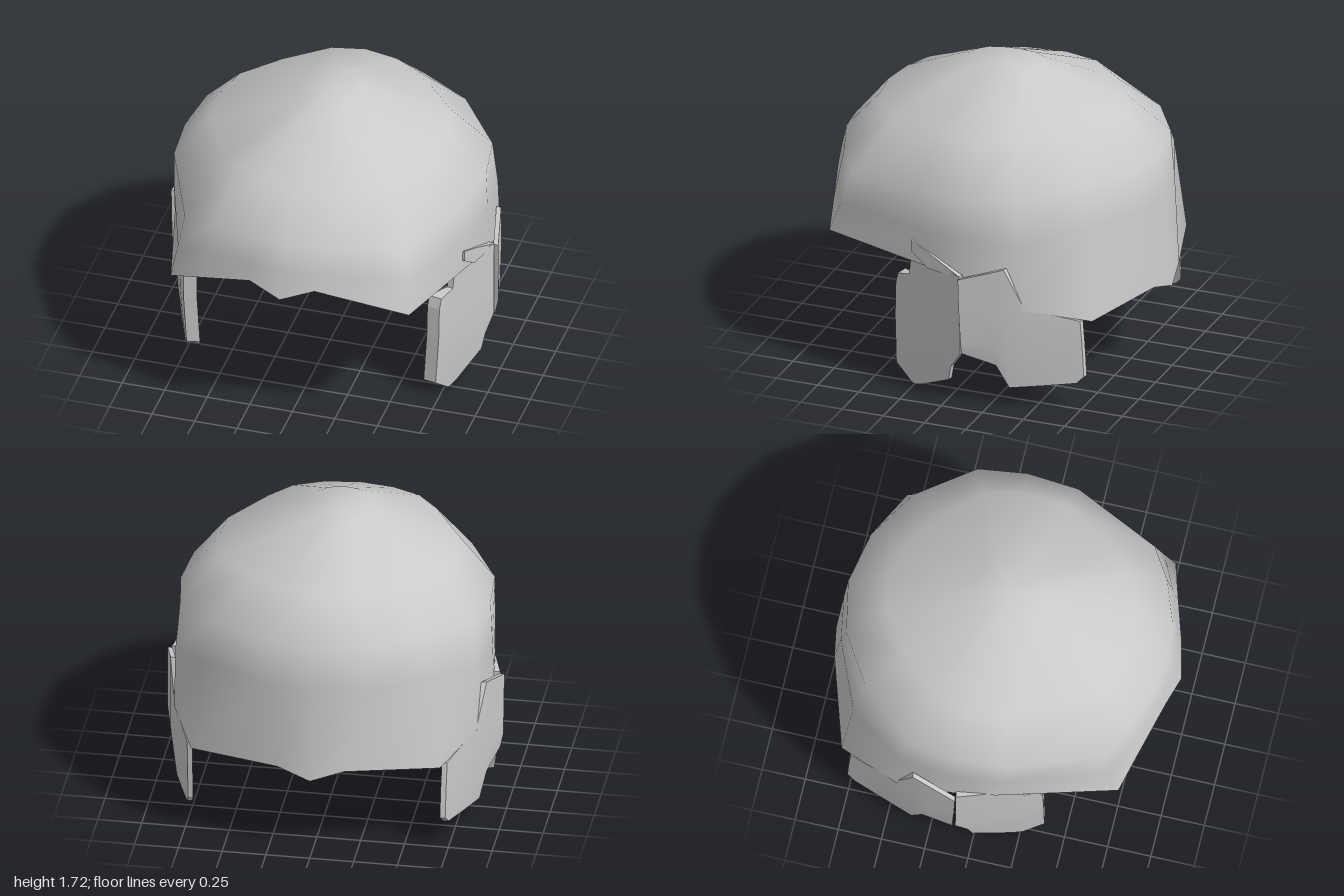
import * as THREE from 'three';

const steel = new THREE.MeshStandardMaterial({ color: 0xcacaca });
steel.name = 'pale grey';

// Smooth surface over a point grid (rows run upward, columns run rightward seen from its front)
function addGrid(pos, idx, grid, closed, flip) {
  const C = grid[0].length, base = pos.length / 3;
  grid.forEach(row => row.forEach(p => pos.push(...p)));
  for (let r = 0; r < grid.length - 1; r++) for (let c = 0; c < (closed ? C : C - 1); c++) {
    const n = (c + 1) % C;
    const [a, b, d, e] = [[r, c], [r, n], [r + 1, n], [r + 1, c]].map(([i, j]) => base + i * C + j);
    if (flip) idx.push(a, d, b, a, e, d); else idx.push(a, b, d, a, d, e);
  }
}

function makeMesh(name, pos, idx) {
  const geo = new THREE.BufferGeometry();
  geo.setAttribute('position', new THREE.Float32BufferAttribute(pos, 3));
  geo.setIndex(idx);
  geo.computeVertexNormals();
  const mesh = new THREE.Mesh(geo, steel);
  mesh.name = name;
  return mesh;
}

// Half rings of the bowl, from front centre round the left side to back centre
const rim = [[0, 0.93, 1], [0.19, 0.995, 0.955], [0.45, 0.91, 0.875], [0.7, 0.83, 0.8], [0.875, 0.79, 0.13],
  [0.905, 0.76, -0.1], [0.865, 0.61, -0.45], [0.71, 0.54, -0.8], [0.19, 0.56, -0.965], [0, 0.5, -1]];
const temple = [[0, 1.09, 0.962], [0.19, 1.1, 0.935], [0.45, 1.06, 0.845], [0.675, 1.0, 0.74], [0.868, 1.0, 0.17],
  [0.895, 1.0, -0.1], [0.86, 0.98, -0.42], [0.66, 1.08, -0.745], [0.26, 1.05, -0.91], [0, 1.05, -0.955]];
const brow = [[0, 1.25, 0.92], [0.2, 1.25, 0.9], [0.45, 1.23, 0.81], [0.65, 1.17, 0.69], [0.86, 1.24, 0.2],
  [0.885, 1.24, -0.1], [0.84, 1.26, -0.38], [0.59, 1.31, -0.69], [0.3, 1.31, -0.87], [0, 1.31, -0.93]];
const crown = [[0, 1.49, 0.72], [0.2, 1.49, 0.69], [0.36, 1.49, 0.62], [0.48, 1.48, 0.5], [0.66, 1.5, 0.17],
  [0.67, 1.51, -0.08], [0.62, 1.51, -0.29], [0.43, 1.51, -0.5], [0.19, 1.53, -0.66], [0, 1.53, -0.7]];
const top = [[0, 1.72, 0.24], [0.06, 1.72, 0.23], [0.1, 1.72, 0.21], [0.14, 1.72, 0.17], [0.17, 1.72, 0.07],
  [0.175, 1.72, -0.02], [0.165, 1.72, -0.1], [0.13, 1.72, -0.16], [0.06, 1.72, -0.2], [0, 1.72, -0.2]];

function bowl() {
  const whole = half => [...half, ...half.slice(1, -1).reverse().map(([x, y, z]) => [-x, y, z])];
  const outer = [rim, temple, brow, crown, top].map(whole);
  outer.push(outer[0].map(() => [0, 1.72, 0]));
  // the lining runs from the rim edge over a rolled lip and up inside
  const lip = outer[0].map(([x, y, z]) => [x * 0.965, y - (z > 0.85 ? 0.035 : 0.004), z * 0.93]);
  const lining = outer.slice(1).map(row => row.map(([x, y, z]) => [x * 0.96, y - 0.035, z * 0.95]));
  const pos = [], idx = [];
  addGrid(pos, idx, outer, true, false);
  addGrid(pos, idx, [outer[0], lip, ...lining], true, true);
  return makeMesh('helmetBowl', pos, idx);
}

// Side plate from rows of [z, y], with rules for the outer x and the thickness; side 1 is left, -1 right
function plate(name, rows, xAt, thickAt, side) {
  const grid = inset => rows.map(row => {
    const pts = row.map(([z, y]) => {
      const t = inset * thickAt(z, y);
      return [side * (xAt(z, y) - t), y, z - t * 0.2];
    });
    return side < 0 ? pts.reverse() : pts;
  });
  const outer = grid(0), inner = grid(1), pos = [], idx = [];
  addGrid(pos, idx, outer, false, false);
  addGrid(pos, idx, inner, false, true);

  // Edge walls
  const R = rows.length, C = rows[0].length, border = [];
  for (let c = 0; c < C; c++) border.push([0, c]);
  for (let r = 1; r < R; r++) border.push([r, C - 1]);
  for (let c = C - 2; c >= 0; c--) border.push([R - 1, c]);
  for (let r = R - 2; r > 0; r--) border.push([r, 0]);
  border.forEach(([r, c], i) => {
    const [r2, c2] = border[(i + 1) % border.length], k = pos.length / 3;
    pos.push(...outer[r][c], ...inner[r][c], ...inner[r2][c2], ...outer[r2][c2]);
    idx.push(k, k + 1, k + 2, k, k + 2, k + 3);
  });
  return makeMesh(name, pos, idx);
}

// Cheek guard: hollow behind, with a folded front edge
const cheekRows = [
  [[0.27, 0.01], [0.25, 0.005], [0.22, 0.015], [0.2, 0.02]],
  [[0.38, 0.1], [0.27, 0.08], [0.12, 0.08], [0, 0.12]],
  [[0.38, 0.26], [0.27, 0.24], [0.1, 0.22], [-0.02, 0.21]],
  [[0.38, 0.4], [0.27, 0.38], [0.08, 0.34], [-0.09, 0.31]],
  [[0.375, 0.6], [0.27, 0.58], [0.08, 0.55], [-0.085, 0.5]],
  [[0.36, 0.665], [0.26, 0.67], [0.08, 0.67], [-0.085, 0.66]],
  [[0.275, 0.69], [0.2, 0.7], [0.06, 0.71], [-0.085, 0.71]],
  [[0.26, 0.8], [0.18, 0.8], [0.06, 0.8], [-0.085, 0.79]],
];
const cheekX = (z, y) => 0.75 + (0.38 - z) * 0.4
  + 0.015 * Math.sin(Math.PI * (0.38 - z) / 0.48) * Math.min(1, y / 0.3)
  - 0.06 * Math.max(0, 0.4 - y);
const cheekThick = (z, y) => z > 0.35 || y < 0.05 ? 0.075 : 0.035;

const tabRows = [
  [[0.24, 0.865], [0.13, 0.785], [-0.085, 0.775]],
  [[0.24, 0.93], [0.13, 0.885], [-0.085, 0.785]],
];
const tabX = z => 0.86 + (0.24 - z) * 0.22;

const earRows = [
  [[-0.1, 0.32], [-0.29, 0.26], [-0.36, 0.12], [-0.55, 0.14], [-0.72, 0.16]],
  [[-0.1, 0.4], [-0.28, 0.38], [-0.36, 0.28], [-0.55, 0.26], [-0.76, 0.2]],
  [[-0.09, 0.6], [-0.22, 0.6], [-0.35, 0.57], [-0.5, 0.46], [-0.75, 0.4]],
  [[-0.085, 0.78], [-0.2, 0.815], [-0.34, 0.86], [-0.45, 0.62], [-0.74, 0.545]],
];
const earX = (z, y) => 0.96 + (z + 0.09) * 0.23 + Math.min(0, z + 0.36) * 0.18
  - 0.2 * Math.max(0, 0.4 - y) * Math.max(0, (z + 0.75) / 0.65);

export function createModel() {
  const group = new THREE.Group();
  group.name = 'helmet';
  group.add(bowl());
  for (const [side, word] of [[1, 'left'], [-1, 'right']]) {
    group.add(plate(word + 'CheekGuard', cheekRows, cheekX, cheekThick, side));
    group.add(plate(word + 'EarGuard', earRows, earX, () => 0.03, side));
  }
  // only the left cheek guard has a tab over the rim
  group.add(plate('leftCheekTab', tabRows, tabX, () => 0.03, 1));
  return group;
}
